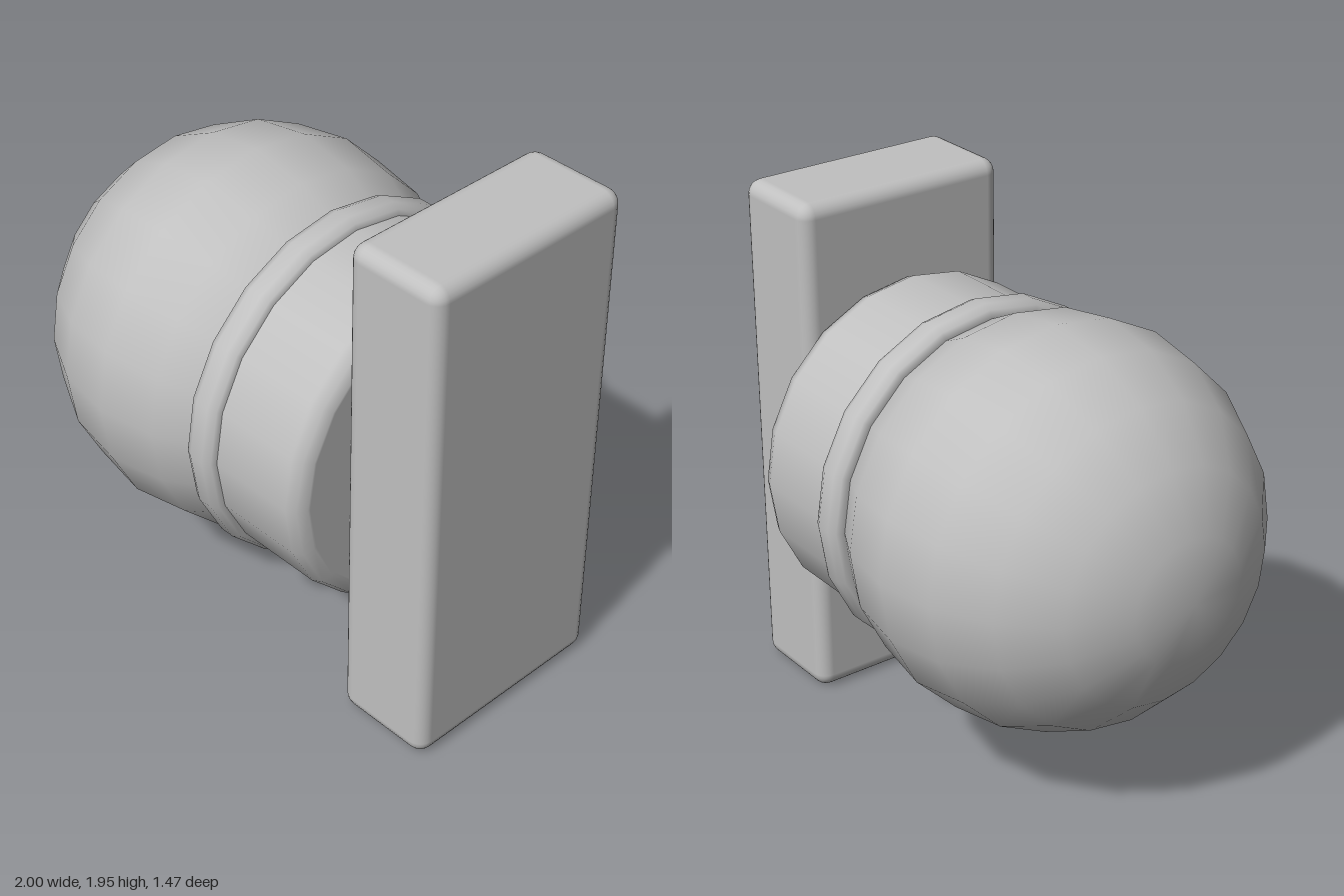
import * as THREE from 'three';
import { RoundedBoxGeometry } from 'three/addons/geometries/RoundedBoxGeometry.js';

const AXIS_Y = 0.975; // height of the knob's axis
const SIDES = 20;

export function createModel() {
  const group = new THREE.Group();
  const grey = new THREE.MeshStandardMaterial({ color: 0xc0c0c0 });
  grey.name = 'plain grey';

  const add = (name, geometry, x) => {
    const mesh = new THREE.Mesh(geometry, grey);
    mesh.name = name;
    mesh.position.set(x, AXIS_Y, 0);
    group.add(mesh);
  };

  // Turns a profile of [x, radius] pairs around the horizontal axis
  const turned = (profile) => new THREE.LatheGeometry(
    profile.map(([x, r]) => new THREE.Vector2(r, x)), SIDES
  ).rotateZ(-Math.PI / 2);

  // Round ball, poles on the x axis
  add('ball', new THREE.SphereGeometry(0.735, SIDES, 10).rotateZ(-Math.PI / 2), -0.265);

  // Raised ring between ball and neck
  add('collar', turned([
    [0.095, 0.5], [0.095, 0.635], [0.105, 0.66], [0.135, 0.675],
    [0.19, 0.675], [0.22, 0.66], [0.23, 0.635], [0.23, 0.5],
  ]), 0);

  // Neck with a softened rim and flat end
  add('neck', turned([
    [0.1, 0.64], [0.55, 0.64], [0.56, 0.64], [0.597, 0.624],
    [0.612, 0.585], [0.612, 0.575], [0.612, 0],
  ]), 0);

  // Upright mounting plate with rounded edges
  add('mountingPlate', new RoundedBoxGeometry(0.39, 1.95, 0.85, 3, 0.055), 0.805);

  return group;
}
